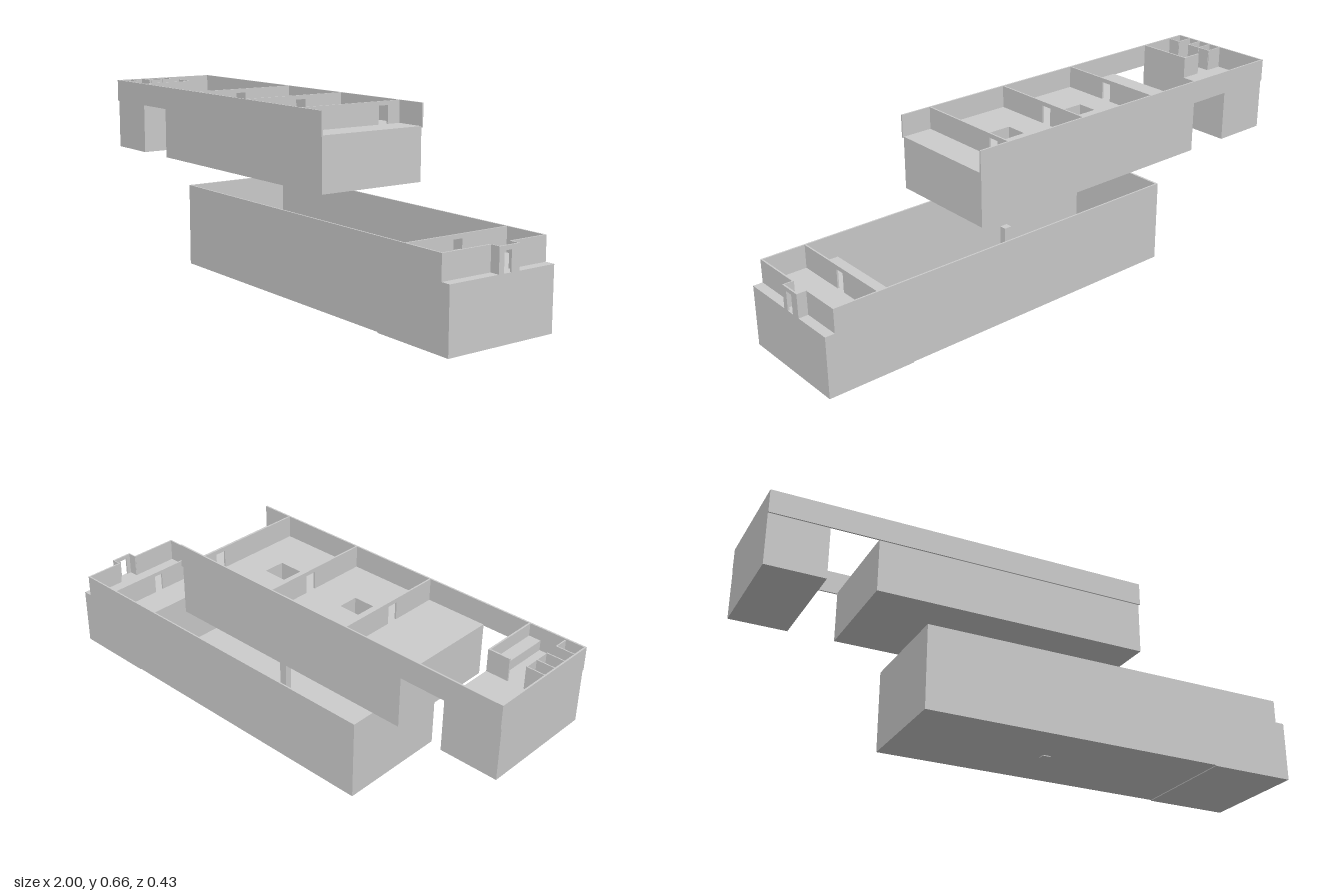
import * as THREE from 'three';

const material = new THREE.MeshStandardMaterial({ color: 0xcccccc, flatShading: true });
const T = 0.006; // thin wall thickness

export function createModel() {
  const model = new THREE.Group();

  const add = (parent, name, geometry) => {
    const mesh = new THREE.Mesh(geometry, material);
    mesh.name = name;
    parent.add(mesh);
    return mesh;
  };
  // Box given by its lower and upper limits on each axis
  const box = (parent, name, x0, x1, y0, y1, z0, z1) => {
    const g = new THREE.BoxGeometry(x1 - x0, y1 - y0, z1 - z0);
    g.translate((x0 + x1) / 2, (y0 + y1) / 2, (z0 + z1) / 2);
    return add(parent, name, g);
  };
  // Horizontal slab with rectangular openings [x0, x1, z0, z1]
  const slab = (parent, name, [x0, x1, z0, z1], y0, y1, openings) => {
    const outline = (path, a, b, c, d) =>
      path.moveTo(a, -d).lineTo(b, -d).lineTo(b, -c).lineTo(a, -c).closePath();
    const shape = new THREE.Shape();
    outline(shape, x0, x1, z0, z1);
    for (const o of openings) {
      const hole = new THREE.Path();
      outline(hole, ...o);
      shape.holes.push(hole);
    }
    const g = new THREE.ExtrudeGeometry(shape, { depth: y1 - y0, bevelEnabled: false });
    g.rotateX(-Math.PI / 2).translate(0, y0, 0);
    return add(parent, name, g);
  };
  // Cross wall at x with a doorway from z0 to z1 under a lintel
  const doorWall = (parent, name, x, y0, y1, zBack, zFront, z0, z1) => {
    const wall = new THREE.Group();
    wall.name = name;
    parent.add(wall);
    box(wall, 'wallBack', x - T / 2, x + T / 2, y0, y1, zBack, z0);
    box(wall, 'wallFront', x - T / 2, x + T / 2, y0, y1, z1, zFront);
    box(wall, 'lintel', x - T / 2, x + T / 2, y1 - 0.015, y1, z0, z1);
  };

  // ---- Lower storey ----
  const lower = new THREE.Group();
  lower.name = 'lowerStorey';
  model.add(lower);
  const L = { top: 0.305, floor: 0.22, z0: -0.213, z1: 0.215 };

  // Tall open hall
  box(lower, 'hallFloor', -0.44, 0.68, 0.003, 0.008, L.z0, L.z1);
  box(lower, 'hallEndWall', -0.44, -0.432, 0.003, L.top, L.z0, L.z1);
  box(lower, 'backWall', -0.44, 0.965, 0.003, L.top, L.z0, L.z0 + T);
  box(lower, 'frontWall', -0.44, 0.965, 0.003, L.top, L.z1 - T, L.z1);
  box(lower, 'pole', 0.085, 0.115, 0, 0.22, 0, 0.026);

  // Raised rooms beside the hall
  box(lower, 'raisedBase', 0.68, 1, 0, L.floor, L.z0, L.z1);
  doorWall(lower, 'roomPartition', 0.8, L.floor, L.top, L.z0, L.z1, -0.016, 0.02);
  box(lower, 'endWallBack', 0.959, 0.965, L.floor, L.top, L.z0, -0.062);
  box(lower, 'endWallFront', 0.959, 0.965, L.floor, L.top, 0.021, L.z1);

  // Entrance porch
  box(lower, 'porchSideBack', 0.96, 1, L.floor, L.top, -0.063, -0.059);
  box(lower, 'porchSideFront', 0.96, 1, L.floor, L.top, 0.017, 0.021);
  doorWall(lower, 'porchDoorWall', 0.997, L.floor, L.top, -0.062, 0.02, -0.03, 0);

  // ---- Upper storey ----
  const upper = new THREE.Group();
  upper.name = 'upperStorey';
  model.add(upper);
  const U = { top: 0.66, floor: 0.58, base: 0.388, z0: -0.213, z1: 0.215 };

  // Two bases with an open gap between them, and two floor hatches
  const hatchA = [-0.285, -0.205, -0.03, 0.045];
  const hatchB = [0.055, 0.145, -0.035, 0.045];
  box(upper, 'smallBase', -1, -0.79, U.base, U.floor, -0.209, 0.21);
  slab(upper, 'mainBase', [-0.62, 0.386, -0.209, 0.21], U.base, U.floor, [hatchA, hatchB]);
  slab(upper, 'hatchShaft', [-0.29, -0.2, -0.035, 0.05], 0.367, U.base, [hatchA]);

  // Outer walls, open at the right-hand end
  box(upper, 'backWall', -1, 0.39, 0.576, U.top, U.z0, U.z0 + T);
  box(upper, 'frontWall', -1, 0.39, 0.576, U.top, U.z1 - T, U.z1);
  box(upper, 'endWall', -1, -1 + T, 0.576, U.top, U.z0, U.z1);

  // Partitions: x, doorway start, doorway end
  for (const [x, d0, d1] of [[-0.39, -0.005, 0.035], [-0.06, -0.045, -0.005], [0.27, -0.155, -0.115]])
    doorWall(upper, 'partition', x, U.floor, U.top, U.z0, U.z1, d0, d1);

  // Washroom: stalls, screen walls and counter
  for (const z of [0, 0.052, 0.104, 0.156])
    box(upper, 'stallDivider', -1, -0.93, U.floor, U.top, z - 0.002, z + 0.002);
  for (const z of [0, 0.052, 0.156])
    box(upper, 'stallFront', -0.932, -0.928, U.floor, U.top, z, z + 0.048);
  box(upper, 'screenWall', -0.87, -0.79, U.floor, U.top, -0.003, 0.003);
  box(upper, 'screenEndWall', -0.796, -0.79, U.floor, U.top, 0, U.z1);
  box(upper, 'counter', -0.84, -0.796, U.floor, 0.615, 0.003, U.z1 - T);

  return model;
}
